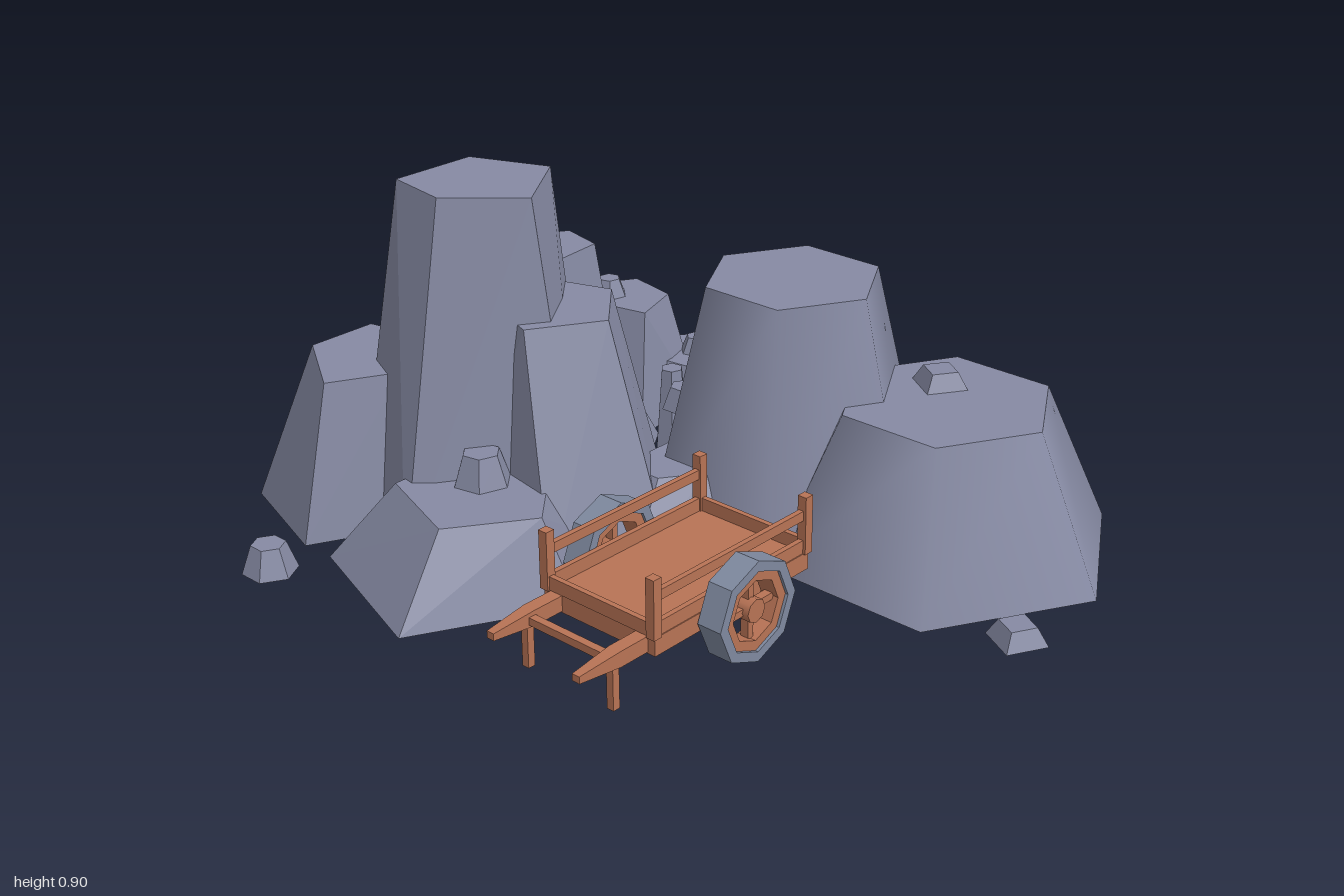
import * as THREE from 'three';
import { ConvexGeometry } from 'three/addons/geometries/ConvexGeometry.js';

const mat = (name, color, flatShading = false) => {
  const m = new THREE.MeshStandardMaterial({ color, flatShading });
  m.name = name;
  return m;
};

export function createModel() {
  const stone = mat('stone', 0x868aa3);
  const iron = mat('iron', 0x7f899f);
  const wood = mat('wood', 0xb87355);

  const model = new THREE.Group();
  model.name = 'rockPileWithCart';

  const add = (parent, name, geometry, material, x = 0, y = 0, z = 0) => {
    const mesh = new THREE.Mesh(geometry, material);
    mesh.name = name;
    mesh.position.set(x, y, z);
    parent.add(mesh);
    return mesh;
  };

  // Rounded six-sided boulders: x, z, base radius, top radius, height
  [
    [0.307, 0.5, 0.459, 0.277, 0.39],
    [0.195, 0.098, 0.387, 0.23, 0.645],
    [0.44, -0.112, 0.306, 0.18, 0.515],
    [0.62, 0.27, 0.305, 0.168, 0.2],
  ].forEach(([x, z, rb, rt, h]) =>
    add(model, 'boulder', new THREE.CylinderGeometry(rt, rb, h, 6), stone, x, h / 2, z));

  // Angular crags: height, base corners [x, z], top corners [x, z]
  const crag = (name, h, base, top) => {
    const points = [
      ...base.map(([x, z]) => new THREE.Vector3(x, 0, z)),
      ...top.map(([x, z]) => new THREE.Vector3(x, h, z)),
    ];
    add(model, name, new ConvexGeometry(points), stone);
  };
  crag('tallSpire', 0.9,
    [[-0.52, -0.77], [-0.13, -0.77], [-0.02, -0.41], [-0.3, -0.16], [-0.68, -0.41]],
    [[-0.45, -0.63], [-0.21, -0.63], [-0.13, -0.42], [-0.33, -0.28], [-0.48, -0.45]]);
  crag('frontSpire', 0.59,
    [[-0.22, 0.06], [0.06, -0.21], [-0.04, -0.52], [-0.42, -0.52], [-0.5, -0.08]],
    [[-0.22, -0.14], [-0.065, -0.28], [-0.12, -0.45], [-0.33, -0.45], [-0.4, -0.25]]);
  crag('leftCrag', 0.21,
    [[-0.915, -0.16], [-0.77, -0.59], [-0.4, -0.59], [-0.25, -0.15], [-0.53, 0.05]],
    [[-0.75, -0.19], [-0.66, -0.45], [-0.45, -0.45], [-0.38, -0.2], [-0.55, -0.05]]);
  crag('backCrag', 0.335,
    [[0.3, -0.465], [0.19, -0.93], [-0.33, -0.93], [-0.45, -0.45], [-0.08, -0.2]],
    [[0.14, -0.53], [0.08, -0.79], [-0.27, -0.79], [-0.33, -0.5], [-0.06, -0.35]]);
  crag('backCornerCrag', 0.41,
    [[-0.67, -1], [-0.33, -1], [-0.26, -0.78], [-0.48, -0.53], [-0.775, -0.68]],
    [[-0.535, -0.905], [-0.34, -0.905], [-0.31, -0.77], [-0.5, -0.6], [-0.67, -0.69]]);
  crag('backSpire', 0.52,
    [[0.19, -0.97], [0.36, -0.82], [0.33, -0.62], [0.06, -0.6], [0.03, -0.8]],
    [[0.18, -0.89], [0.31, -0.81], [0.28, -0.68], [0.1, -0.66], [0.08, -0.79]]);
  crag('sideCrag', 0.335,
    [[0.355, -0.91], [0.59, -0.77], [0.535, -0.52], [0.26, -0.49], [0.2, -0.75]],
    [[0.38, -0.82], [0.51, -0.74], [0.48, -0.59], [0.33, -0.54], [0.29, -0.73]]);
  crag('lowCrag', 0.17,
    [[0.735, -0.6], [0.68, -0.32], [0.37, -0.38], [0.33, -0.6], [0.56, -0.69]],
    [[0.64, -0.58], [0.6, -0.4], [0.42, -0.4], [0.4, -0.58], [0.54, -0.65]]);
  crag('innerCrag', 0.2,
    [[-0.34, 0.04], [-0.12, 0.18], [0.1, 0.1], [0.05, -0.2], [-0.3, -0.2]],
    [[-0.2, 0], [-0.1, 0.07], [0.02, 0.05], [0, -0.12], [-0.2, -0.12]]);

  // Pebbles: x, y, z, base radius, height, sides, turn
  [
    [-0.91, 0, -0.645, 0.07, 0.075, 6, 0],
    [0.37, 0.335, -0.715, 0.05, 0.05, 6, 0.3],
    [0.52, 0.17, -0.515, 0.05, 0.045, 6, 0.3],
    [0.26, 0, -0.375, 0.05, 0.24, 6, 0.2],
    [0.2, 0.2, -0.59, 0.05, 0.06, 6, 0.2],
    [0.16, 0.2, -0.24, 0.06, 0.06, 6, 0],
    [-0.51, 0.2, -0.3, 0.078, 0.09, 6, 0.2],
    [-0.25, 0, 0.2, 0.075, 0.045, 6, 0],
    [0.865, 0, -0.1, 0.113, 0.065, 4, -0.28],
    [0.03, 0, 0.917, 0.077, 0.045, 4, 0.28],
    [0.375, 0.388, 0.43, 0.077, 0.045, 4, 0.2],
  ].forEach(([x, y, z, r, h, sides, turn]) => {
    const geometry = new THREE.CylinderGeometry(r * 0.62, r, h, sides).toNonIndexed();
    geometry.computeVertexNormals();
    add(model, 'pebble', geometry, stone, x, y + h / 2, z).rotation.y = turn;
  });

  // Cart, centred on its own z axis
  const cart = new THREE.Group();
  cart.name = 'cart';
  cart.position.set(-0.437, 0, 0.283);
  model.add(cart);
  const box = (name, w, h, d, x, y, z) =>
    add(cart, name, new THREE.BoxGeometry(w, h, d), wood, x, y, z);

  box('deck', 0.53, 0.046, 0.345, 0, 0.126, 0);
  for (const s of [-1, 1]) {
    box('sidePlank', 0.53, 0.035, 0.014, 0, 0.166, s * 0.163);
    box('topRail', 0.53, 0.025, 0.014, 0, 0.248, s * 0.163);
    box('endPlank', 0.014, 0.035, 0.33, s * 0.26, 0.166, 0);
    for (const e of [-1, 1])
      box('cornerPost', 0.025, 0.15, 0.025, e * 0.26, 0.222, s * 0.165);

    // Tapered pull handle
    const handle = new THREE.BoxGeometry(0.24, 0.04, 0.036, 2, 1, 1);
    const p = handle.attributes.position;
    for (let i = 0; i < p.count; i++) {
      if (p.getX(i) < -0.1) p.setXYZ(i, p.getX(i), p.getY(i) * 0.45, p.getZ(i) * 0.6);
    }
    handle.computeVertexNormals();
    add(cart, 'handle', handle.toNonIndexed(), wood, -0.35, 0.127, s * 0.133);
    box('standLeg', 0.02, 0.12, 0.02, -0.358, 0.06, s * 0.133);
  }
  box('crossbar', 0.02, 0.02, 0.27, -0.358, 0.125, 0);

  // Wheels: iron tyre, wooden rim, spokes and hub
  const octagon = (r) => Array.from({ length: 8 }, (_, i) =>
    new THREE.Vector2(r * Math.cos(i * Math.PI / 4), r * Math.sin(i * Math.PI / 4)));
  const ring = (outer, inner, depth) => {
    const shape = new THREE.Shape(octagon(outer));
    shape.holes.push(new THREE.Path(octagon(inner).reverse()));
    return new THREE.ExtrudeGeometry(shape, { depth, bevelEnabled: false })
      .translate(0, 0, -depth / 2);
  };
  const rod = (r, length) =>
    new THREE.CylinderGeometry(r, r, length, 8).rotateX(Math.PI / 2);
  for (const s of [-1, 1]) {
    const wheel = new THREE.Group();
    wheel.name = 'wheel';
    wheel.position.set(-0.002, 0.13, s * 0.212);
    cart.add(wheel);
    add(wheel, 'tyre', ring(0.13, 0.104, 0.068), iron);
    add(wheel, 'rim', ring(0.105, 0.078, 0.052), wood);
    add(wheel, 'hub', rod(0.03, 0.056), wood);
    for (let i = 0; i < 2; i++)
      add(wheel, 'spoke', new THREE.BoxGeometry(0.17, 0.018, 0.022), wood)
        .rotation.z = i * Math.PI / 2;
  }
  add(cart, 'axle', rod(0.015, 0.42), wood, 0, 0.13, 0);

  return model;
}
